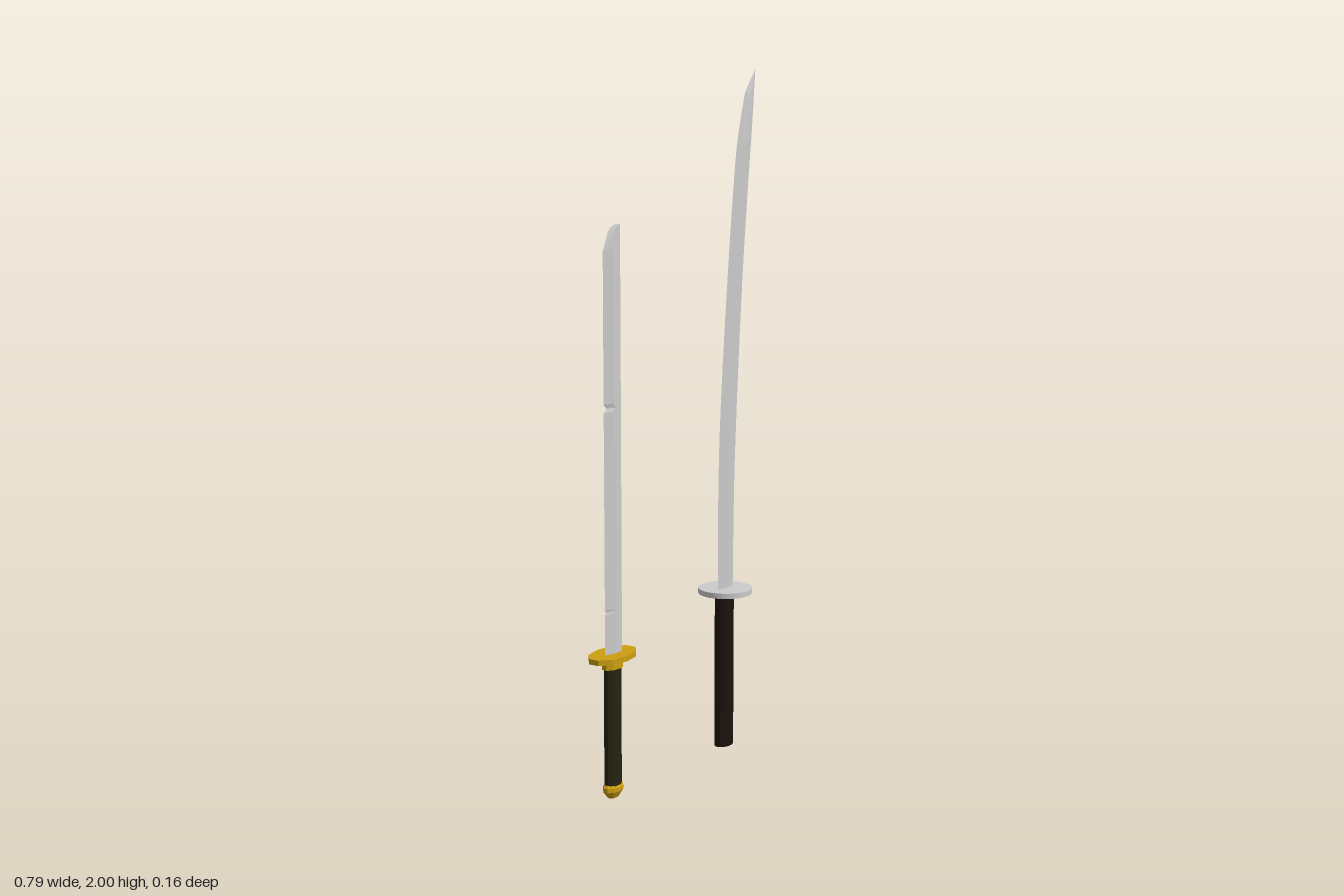
import * as THREE from 'three';

const paint = (color) => new THREE.MeshStandardMaterial({ color, flatShading: true });

function addMesh(group, name, geometry, material, x = 0, y = 0) {
  const mesh = new THREE.Mesh(geometry, material);
  mesh.name = name;
  mesh.position.set(x, y, 0);
  group.add(mesh);
  return mesh;
}

// Oval cylinder standing between y0 and y1.
function addOval(group, name, material, x, y0, y1, rx, rz, sides) {
  const g = new THREE.CylinderGeometry(1, 1, y1 - y0, sides).scale(rx, 1, rz);
  return addMesh(group, name, g, material, x, (y0 + y1) / 2);
}

// Single-edged blade lofted through rows of [edgeX, edgeY, spineX, spineY, halfThickness].
function bladeGeometry(rows) {
  const pos = [], index = [], n = 5;
  for (const [ex, ey, sx, sy, h] of rows) {
    const section = [[0, 0], [0.5, h], [1, h * 0.8], [1, -h * 0.8], [0.5, -h]];
    for (const [t, z] of section) pos.push(ex + (sx - ex) * t, ey + (sy - ey) * t, z);
  }
  for (let r = 0; r < rows.length - 1; r++) {
    for (let j = 0; j < n; j++) {
      const a = r * n + j, b = r * n + (j + 1) % n;
      index.push(a, b, b + n, a, b + n, a + n);
    }
  }
  const top = (rows.length - 1) * n;
  for (let j = 1; j < n - 1; j++) {
    index.push(0, j + 1, j, top, top + j, top + j + 1);
  }
  const g = new THREE.BufferGeometry();
  g.setAttribute('position', new THREE.Float32BufferAttribute(pos, 3));
  g.setIndex(index);
  g.computeVertexNormals();
  return g;
}

function longSword(steel) {
  const sword = new THREE.Group();
  sword.name = 'longSword';
  addOval(sword, 'longGrip', paint(0x1c120c), 0.24, 0, 0.47, 0.036, 0.024, 16);
  addOval(sword, 'longGuard', steel, 0.244, 0.467, 0.483, 0.08, 0.08, 40);

  // Curved blade: smooth edge and spine lines up to the angled point
  const curve = (pts) => new THREE.SplineCurve(pts.map(([x, y]) => new THREE.Vector2(x, y)));
  const edge = curve([[0.205, 0.48], [0.206, 0.77], [0.217, 1.03], [0.25, 1.4],
    [0.286, 1.72], [0.31, 1.84], [0.338, 1.935]]).getPoints(18);
  const spine = curve([[0.275, 0.48], [0.279, 0.77], [0.291, 1.03], [0.317, 1.4],
    [0.349, 1.72], [0.362, 1.82], [0.376, 1.92]]).getPoints(18);
  const rows = edge.map((e, i) => {
    const h = i < 15 ? 0.008 + 0.003 * i / 15 : 0.011 - 0.0012 * (i - 14);
    return [e.x, e.y, spine[i].x, spine[i].y, h];
  });
  rows.push([0.39, 2, 0.391, 2, 0.0005]);
  addMesh(sword, 'longBlade', bladeGeometry(rows), steel);
  return sword;
}

function shortSword(steel) {
  const sword = new THREE.Group();
  sword.name = 'shortSword';
  const gold = paint(0xcc9f10);
  const x = -0.311;

  // Rounded pommel
  const profile = [[0, 0], [0.02, 0], [0.037, 0.02], [0.037, 0.032], [0.028, 0.042], [0, 0.042]]
    .map(([r, y]) => new THREE.Vector2(r, y));
  addMesh(sword, 'shortPommel', new THREE.LatheGeometry(profile, 10).scale(1, 1, 0.62), gold, x);
  addOval(sword, 'shortGrip', paint(0x25230f), x, 0.03, 0.375, 0.03, 0.02, 14);
  addOval(sword, 'shortCollar', gold, x, 0.37, 0.4, 0.039, 0.024, 10);
  addOval(sword, 'shortGuard', gold, x, 0.396, 0.411, 0.089, 0.052, 10);

  // Straight blade with small nicks along the cutting edge
  const e = -0.344, s = -0.278, h = 0.01;
  const rows = [[e, 0.41, s, 0.41, h]];
  for (const [y, depth, half] of [[0.53, 0.005, 0.007], [1.09, 0.012, 0.012]]) {
    rows.push([e, y - half, s, y - half, h], [e + depth, y, s, y, h], [e, y + half, s, y + half, h]);
  }
  rows.push([e, 1.51, s, 1.53, h], [-0.32, 1.562, s, 1.58, h]);
  addMesh(sword, 'shortBlade', bladeGeometry(rows), steel);
  return sword;
}

export function createModel() {
  const model = new THREE.Group();
  model.name = 'swordPair';
  const steel = paint(0xcccccc);
  model.add(longSword(steel), shortSword(steel));
  return model;
}
